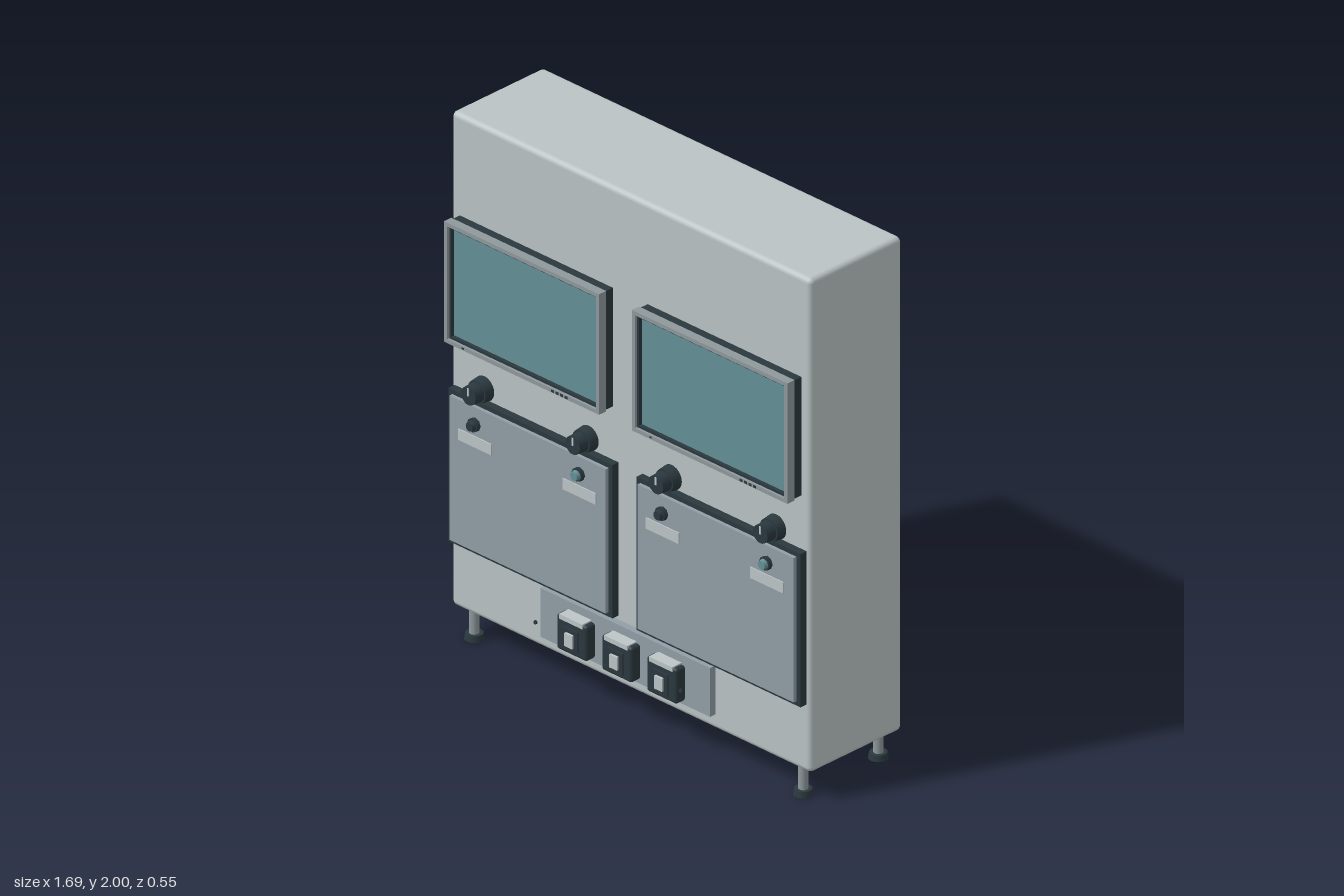
import * as THREE from 'three';
import { RoundedBoxGeometry } from 'three/addons/geometries/RoundedBoxGeometry.js';

const mat = (name, color) => Object.assign(new THREE.MeshStandardMaterial({ color }), { name });

export function createModel() {
  const shell = mat('pale grey shell', 0xbac3c4);
  const grey = mat('panel grey', 0x929da6);
  const dark = mat('dark slate', 0x2a383e);
  const steel = mat('steel', 0x8f999c);
  const glass = mat('teal glass', 0x639097);
  const label = mat('label white', 0xbcc5c7);

  const root = new THREE.Group();
  root.name = 'controlCabinet';
  const FRONT = 0.163;

  const add = (parent, name, geometry, material, x = 0, y = 0, z = 0) => {
    const m = new THREE.Mesh(geometry, material);
    m.name = name;
    m.position.set(x, y, z);
    parent.add(m);
    return m;
  };
  // Box given by its limits on each axis
  const box = (parent, name, material, [x0, x1], [y0, y1], [z0, z1], r = 0) => {
    const s = [x1 - x0, y1 - y0, z1 - z0];
    const g = r ? new RoundedBoxGeometry(...s, 3, r) : new THREE.BoxGeometry(...s);
    return add(parent, name, g, material, (x0 + x1) / 2, (y0 + y1) / 2, (z0 + z1) / 2);
  };
  // Cylinder along z between two depths
  const disc = (parent, name, material, r0, r1, x, y, z0, z1, n = 24) => {
    const g = new THREE.CylinderGeometry(r1, r0, z1 - z0, n).rotateX(Math.PI / 2);
    return add(parent, name, g, material, x, y, (z0 + z1) / 2);
  };
  // Rectangular frame, centred, with an opening
  const frame = (parent, name, material, [x0, x1], [y0, y1], [z0, z1], t) => {
    const rect = (C, d) => new C([[x0 + d, y0 + d], [x1 - d, y0 + d], [x1 - d, y1 - d], [x0 + d, y1 - d]]
      .map(p => new THREE.Vector2(...p)));
    const s = rect(THREE.Shape, 0);
    s.holes.push(rect(THREE.Path, t));
    return add(parent, name, new THREE.ExtrudeGeometry(s, { depth: z1 - z0, bevelEnabled: false }), material, 0, 0, z0);
  };
  const group = name => {
    const g = new THREE.Group();
    g.name = name;
    root.add(g);
    return g;
  };

  box(root, 'cabinetBody', shell, [-0.847, 0.847], [0.115, 2], [-0.275, FRONT], 0.02);

  // Two monitors with recessed screens
  for (const [side, x0, x1] of [['right', -0.81, -0.08], ['left', 0.075, 0.808]]) {
    const g = group(side + 'Monitor');
    box(g, 'monitorBack', dark, [x0 + 0.004, x1 - 0.004], [1.164, 1.616], [FRONT - 0.005, 0.202]);
    frame(g, 'bezel', steel, [x0, x1], [1.16, 1.62], [0.2, 0.234], 0.015);
    frame(g, 'innerBezel', dark, [x0 + 0.014, x1 - 0.014], [1.174, 1.606], [0.2, 0.224], 0.01);
    box(g, 'screen', glass, [x0 + 0.022, x1 - 0.022], [1.182, 1.598], [0.2, 0.21]);
    for (let i = 0; i < 4; i++)
      box(g, 'monitorButton', dark, [x1 - 0.223 + i * 0.021, x1 - 0.211 + i * 0.021], [1.163, 1.172], [0.23, 0.236]);
    box(g, 'monitorLamp', dark, [x0 + 0.085, x0 + 0.093], [1.165, 1.171], [0.23, 0.236]);
  }

  // Two control panels with knobs, push buttons and labels
  for (const [side, x0, x1, knobs] of [
    ['right', -0.83, -0.058, [-0.69, -0.198]],
    ['left', 0.056, 0.828, [0.194, 0.686]],
  ]) {
    const g = group(side + 'ControlPanel');
    box(g, 'panelFrame', dark, [x0, x1], [0.375, 0.96], [FRONT - 0.005, 0.192]);
    box(g, 'panelFace', grey, [x0 + 0.018, x1 - 0.018], [0.392, 0.943], [0.185, 0.206]);
    knobs.forEach((x, i) => {
      disc(g, 'knobBase', dark, 0.047, 0.042, x, 1, FRONT - 0.005, 0.2);
      disc(g, 'knobGrip', dark, 0.036, 0.034, x, 1, 0.2, 0.24);
      box(g, 'knobPointer', label, [x - 0.004, x + 0.004], [1, 1.03], [0.236, 0.242]);
      disc(g, 'buttonCollar', dark, 0.025, 0.025, x, 0.88, 0.2, 0.222, 8);
      disc(g, 'pushButton', i ? glass : dark, 0.019, 0.016, x, 0.88, 0.222, 0.236, 16);
      box(g, 'labelPlate', label, [x - 0.078, x + 0.078], [0.792, 0.834], [0.204, 0.21]);
    });
  }

  // Socket strip near the bottom
  const strip = group('socketStrip');
  box(strip, 'stripPlate', grey, [-0.4, 0.4], [0.174, 0.36], [FRONT - 0.005, 0.19]);
  for (const x of [-0.212, 0, 0.212]) {
    box(strip, 'socketBody', dark, [x - 0.072, x + 0.072], [0.19, 0.325], [0.185, 0.233], 0.012);
    box(strip, 'socketLid', label, [x - 0.055, x + 0.055], [0.312, 0.33], [0.19, 0.236]);
    box(strip, 'socketWell', dark, [x - 0.035, x + 0.035], [0.21, 0.292], [0.23, 0.239]);
    box(strip, 'socketSwitch', label, [x - 0.018, x + 0.018], [0.226, 0.276], [0.23, 0.248]);
  }
  for (const x of [-0.342, 0.342])
    disc(strip, 'stripScrew', dark, 0.007, 0.007, x, 0.283, 0.269, 0.275, 12);

  // Levelling feet at the corners
  const feet = group('feet');
  for (const x of [-0.775, 0.775]) for (const z of [-0.233, 0.125]) {
    add(feet, 'legRod', new THREE.CylinderGeometry(0.018, 0.018, 0.105, 20), steel, x, 0.068, z);
    add(feet, 'footPad', new THREE.CylinderGeometry(0.031, 0.035, 0.022, 24), dark, x, 0.011, z);
  }

  // Row of cable glands under the rear edge
  for (let i = -2; i <= 2; i++) {
    add(feet, 'cableGland', new THREE.CylinderGeometry(0.029, 0.026, 0.038, 20), dark, i * 0.34, 0.099, -0.195);
  }

  return root;
}
